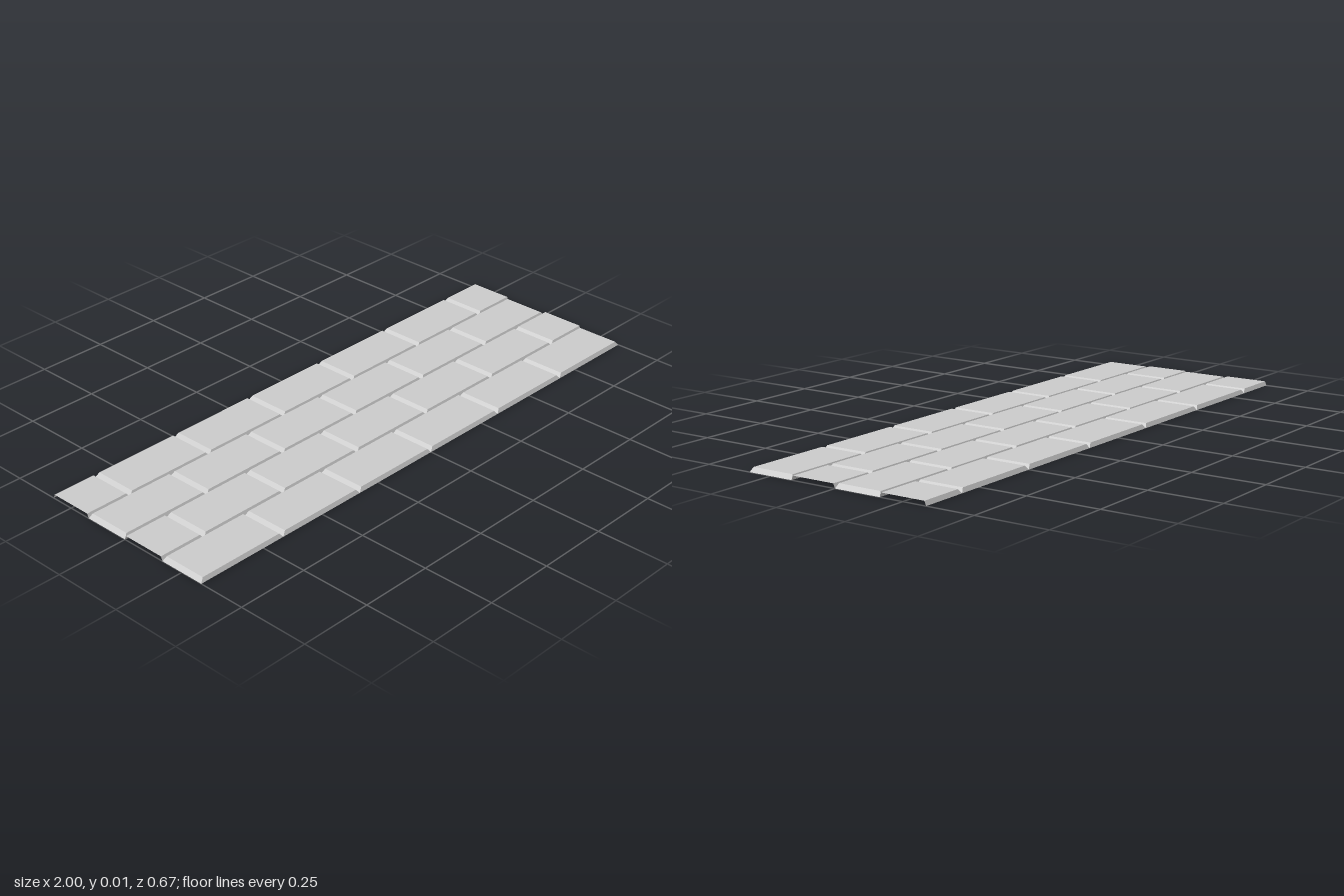
import * as THREE from 'three';

const H = 0.0145, ROWS = 4, COLS = 6;
const W = 2 / COLS, D = W / 2;
const BEVEL_X = 0.012, BEVEL_Z = 0.006;

// Open-bottomed brick shell: a top face plus sloped sides; cut ends are left open.
function brickGeometry(x0, x1, z0, z1, cutLeft, cutRight) {
  const a = cutLeft ? x0 : x0 + BEVEL_X;
  const b = cutRight ? x1 : x1 - BEVEL_X;
  const base = [[x0, 0, z1], [x1, 0, z1], [x1, 0, z0], [x0, 0, z0]];
  const top = [
    [a, H, z1 - BEVEL_Z], [b, H, z1 - BEVEL_Z],
    [b, H, z0 + BEVEL_Z], [a, H, z0 + BEVEL_Z],
  ];
  const pos = [];
  const quad = (p, q, r, s) => pos.push(...p, ...q, ...r, ...p, ...r, ...s);
  quad(...top);
  for (let i = 0; i < 4; i++) {
    if ((i === 1 && cutRight) || (i === 3 && cutLeft)) continue;
    const j = (i + 1) % 4;
    quad(base[i], base[j], top[j], top[i]);
  }
  const geo = new THREE.BufferGeometry();
  geo.setAttribute('position', new THREE.Float32BufferAttribute(pos, 3));
  geo.computeVertexNormals();
  return geo;
}

export function createModel() {
  const model = new THREE.Group();
  model.name = 'brickPanel';
  const material = new THREE.MeshStandardMaterial({
    color: 0xcccccc, flatShading: true, side: THREE.DoubleSide,
  });

  // Running bond: every other row is shifted by half a brick and cut at the panel edges
  for (let r = 0; r < ROWS; r++) {
    const row = new THREE.Group();
    row.name = `brickRow${r + 1}`;
    const z0 = (r - ROWS / 2) * D;
    const shift = r % 2 === 0 ? -W / 2 : 0;
    const count = shift ? COLS + 1 : COLS;
    for (let c = 0; c < count; c++) {
      const cutLeft = shift !== 0 && c === 0;
      const cutRight = shift !== 0 && c === count - 1;
      const x0 = cutLeft ? -1 : -1 + shift + c * W;
      const x1 = cutRight ? 1 : -1 + shift + (c + 1) * W;
      const brick = new THREE.Mesh(brickGeometry(x0, x1, z0, z0 + D, cutLeft, cutRight), material);
      brick.name = cutLeft || cutRight ? 'halfBrick' : 'brick';
      row.add(brick);
    }
    model.add(row);
  }
  return model;
}
